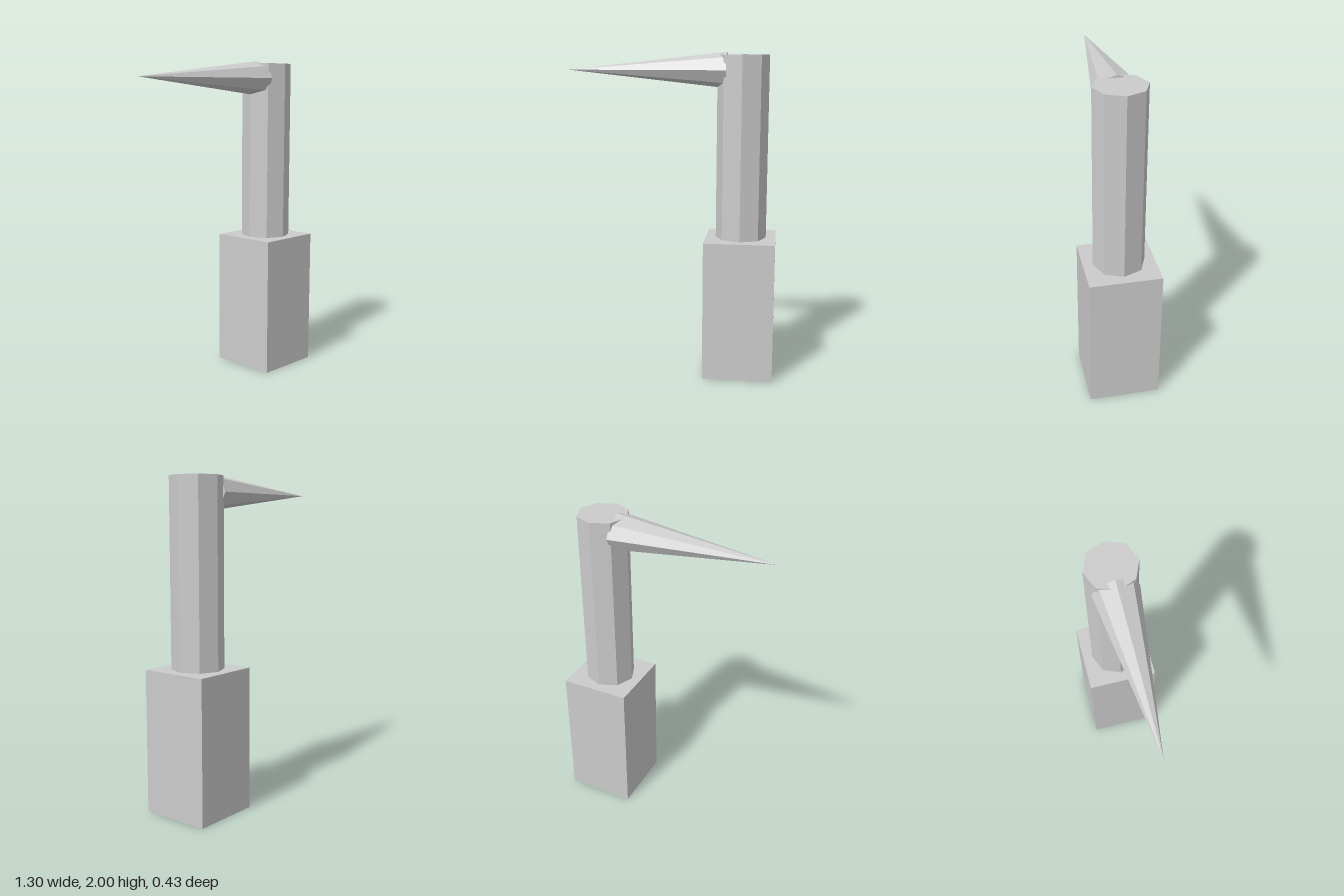
import * as THREE from 'three';

export function createModel() {
  const group = new THREE.Group();
  const material = new THREE.MeshStandardMaterial({ color: 0xcccccc, flatShading: true });
  const poleX = 0.432;

  const add = (name, geometry, x, y) => {
    const mesh = new THREE.Mesh(geometry, material);
    mesh.name = name;
    mesh.position.set(x, y, 0);
    group.add(mesh);
  };

  // Square block the model stands on
  const baseHeight = 0.866;
  add('base', new THREE.BoxGeometry(0.432, baseHeight, 0.432), poleX, baseHeight / 2);

  // Eight-sided pole
  const poleTop = 1.984;
  const poleHeight = poleTop - baseHeight;
  add('pole', new THREE.CylinderGeometry(0.156, 0.156, poleHeight, 8), poleX, baseHeight + poleHeight / 2);

  // Eight-sided spike pointing sideways, slightly flattened in height
  const tipX = -0.648, rootX = 0.335;
  const spike = new THREE.ConeGeometry(1, rootX - tipX, 8);
  spike.rotateZ(Math.PI / 2);
  spike.scale(1, 0.108, 0.135);
  add('spike', spike, (tipX + rootX) / 2, 1.892);

  return group;
}
